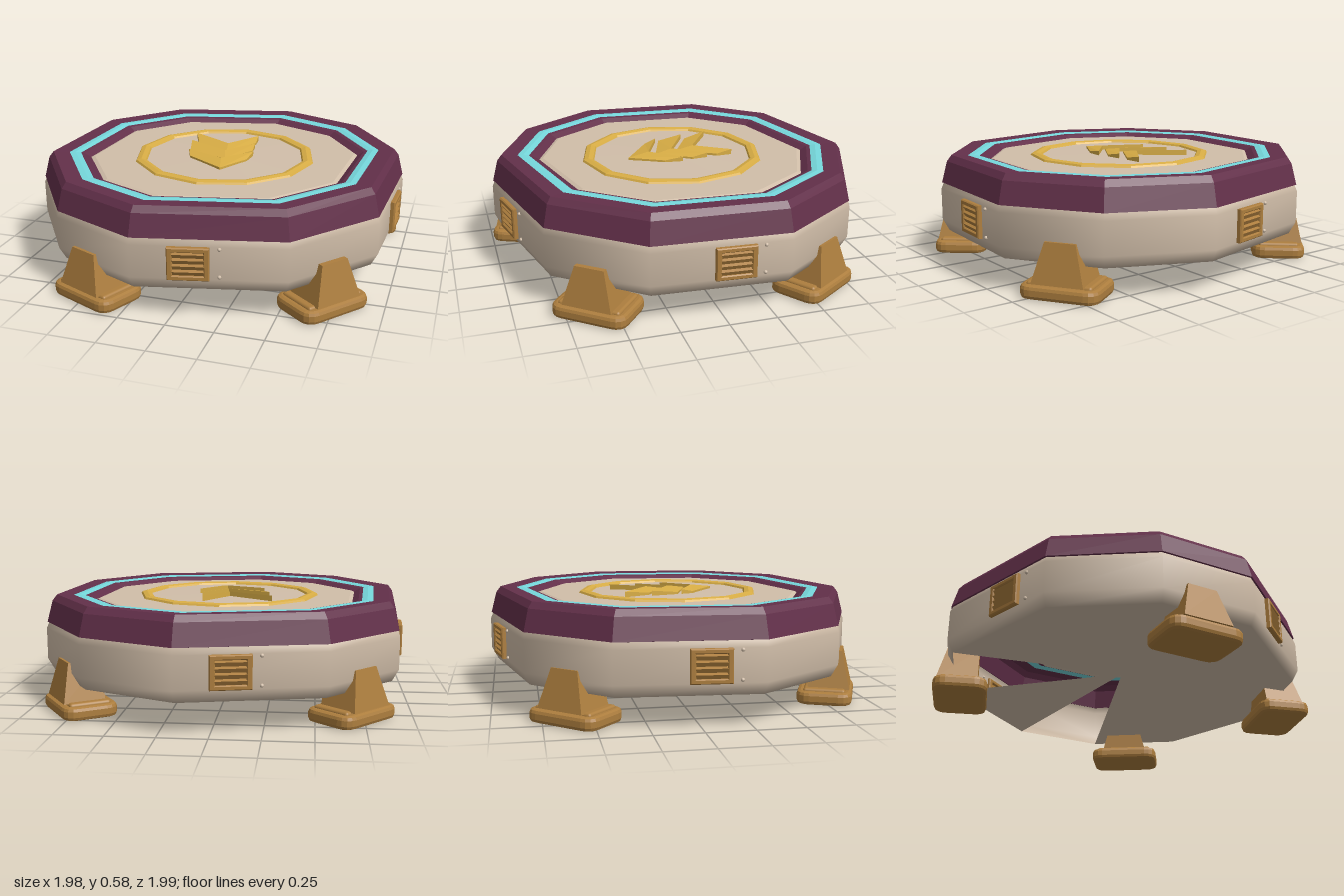
import * as THREE from 'three';
import { mergeVertices } from 'three/addons/utils/BufferGeometryUtils.js';
import { RoundedBoxGeometry } from 'three/addons/geometries/RoundedBoxGeometry.js';

const mat = (name, color, side = THREE.FrontSide) => {
  const m = new THREE.MeshStandardMaterial({ color, side });
  m.name = name;
  return m;
};

// Ten-sided irregular outline (x, z), clockwise seen from above
const OUTLINE = [
  [0.17, -1.0], [0.67, -0.78], [0.97, -0.33], [0.93, 0.38], [0.57, 0.82],
  [-0.18, 0.99], [-0.66, 0.78], [-0.98, 0.31], [-0.93, -0.43], [-0.57, -0.83],
];
const ROUND = Array.from({ length: 12 }, (_, i) => {
  const a = (i / 12) * Math.PI * 2;
  return [Math.sin(a), -Math.cos(a)];
});

// Faceted band: the outline scaled along a profile of [scale, y].
// Edges listed in openPanels are left out of the first profile step.
function loft(outline, profile, openPanels = []) {
  const pos = [];
  const pt = (p, [s, y]) => [p[0] * s, y, p[1] * s];
  for (let k = 0; k < profile.length - 1; k++) {
    outline.forEach((p, i) => {
      if (k === 0 && openPanels.includes(i)) return;
      const q = outline[(i + 1) % outline.length];
      const a = pt(p, profile[k]), b = pt(q, profile[k]);
      const c = pt(q, profile[k + 1]), d = pt(p, profile[k + 1]);
      if (profile[k][0] > 0) pos.push(...b, ...a, ...d);
      if (profile[k + 1][0] > 0) pos.push(...b, ...d, ...c);
    });
  }
  const g = new THREE.BufferGeometry();
  g.setAttribute('position', new THREE.Float32BufferAttribute(pos, 3));
  g.computeVertexNormals();
  return g;
}

// Same surface with normals blended over the edges
function smooth(geometry) {
  geometry.deleteAttribute('normal');
  const g = mergeVertices(geometry);
  g.computeVertexNormals();
  return g;
}

// Box whose top is narrowed and pulled back towards the wall
function wedgeGeometry(w, h, d, topW, frontPull) {
  const g = new THREE.BoxGeometry(w, h, d).toNonIndexed();
  const p = g.attributes.position;
  for (let i = 0; i < p.count; i++) {
    if (p.getY(i) < 0) continue;
    p.setX(i, p.getX(i) * topW / w);
    if (p.getZ(i) > 0) p.setZ(i, p.getZ(i) - frontPull);
  }
  g.computeVertexNormals();
  return g;
}

// Rounded slab lying flat, bevelled top and bottom
function padGeometry(w, d, h) {
  const b = 0.02, r = 0.05, x = w / 2 - b, z = d / 2 - b;
  const s = new THREE.Shape();
  s.moveTo(-x + r, -z).lineTo(x - r, -z).quadraticCurveTo(x, -z, x, -z + r);
  s.lineTo(x, z - r).quadraticCurveTo(x, z, x - r, z).lineTo(-x + r, z);
  s.quadraticCurveTo(-x, z, -x, z - r).lineTo(-x, -z + r).quadraticCurveTo(-x, -z, -x + r, -z);
  const g = new THREE.ExtrudeGeometry(s, {
    depth: h - 2 * b, bevelEnabled: true, bevelSize: b, bevelThickness: b, bevelSegments: 2, curveSegments: 4,
  });
  return g.rotateX(-Math.PI / 2).translate(0, b, 0);
}

// Arrow mark: the first three points form the high edge, the rest the low edge
function chevronGeometry(pts) {
  const shape = new THREE.Shape(pts.map(([x, z]) => new THREE.Vector2(x, -z)));
  const g = new THREE.ExtrudeGeometry(shape, { depth: 0.037, bevelEnabled: false }).rotateX(-Math.PI / 2);
  const p = g.attributes.position;
  for (let i = 0; i < p.count; i++) {
    const low = pts.slice(3).some(([x, z]) => Math.hypot(x - p.getX(i), z - p.getZ(i)) < 1e-4);
    if (low && p.getY(i) > 0.02) p.setY(i, 0.022);
  }
  g.computeVertexNormals();
  return g;
}

export function createModel() {
  const cream = mat('cream', 0xd1bea9, THREE.DoubleSide);
  const plum = mat('plum', 0x63304a, THREE.DoubleSide);
  const cyan = mat('cyan', 0x76d8dc, THREE.DoubleSide);
  const gold = mat('gold', 0xd8ad45);
  const bronze = mat('bronze', 0xad7e3e);

  const model = new THREE.Group();
  model.name = 'platform';
  const add = (parent, name, geo, material, x = 0, y = 0, z = 0) => {
    const m = new THREE.Mesh(geo, material);
    m.name = name;
    m.position.set(x, y, z);
    parent.add(m);
  };
  // Group turned so that its +z points out of one outline edge
  const facing = (name, i, x, z) => {
    const g = new THREE.Group();
    g.name = name;
    const p = OUTLINE[i], q = OUTLINE[(i + 1) % 10];
    g.rotation.y = Math.atan2(q[1] - p[1], p[0] - q[0]);
    g.position.set(x, 0, z);
    model.add(g);
    return g;
  };

  // Hollow drum, with two open panels underneath
  const drum = [[0, 0.24], [0.965, 0.165], [1, 0.23], [1, 0.4], [0.985, 0.435]];
  add(model, 'body', smooth(loft(OUTLINE, drum, [0, 8])), cream);

  // Rim, light band and deck
  add(model, 'rim', loft(OUTLINE, [[0.98, 0.432], [0.995, 0.435], [0.965, 0.55], [0.94, 0.583], [0.852, 0.578]]), plum);
  add(model, 'lightBand', loft(OUTLINE, [[0.852, 0.578], [0.82, 0.58], [0.79, 0.574]]), cyan);
  add(model, 'innerRim', loft(OUTLINE, [[0.79, 0.574], [0.77, 0.57], [0.735, 0.548]]), plum);
  add(model, 'deck', loft(OUTLINE, [[0.735, 0.548], [0.715, 0.556], [0.43, 0.556], [0, 0.565]]), cream);
  add(model, 'deckRing', loft(ROUND, [[0.51, 0.55], [0.5, 0.566], [0.475, 0.572], [0.45, 0.566], [0.44, 0.55]]), gold);

  // Three arrow marks
  [
    [[-0.26, -0.28], [-0.02, -0.13], [0.11, -0.32], [0.12, -0.23], [0, -0.03], [-0.2, -0.14]],
    [[-0.24, -0.13], [0, 0], [0.13, -0.17], [0.14, -0.08], [0.03, 0.1], [-0.2, 0.02]],
    [[-0.2, 0.04], [0.02, 0.14], [0.16, -0.02], [0.15, 0.08], [0.05, 0.26], [-0.17, 0.11]],
  ].forEach((pts) => add(model, 'chevron', chevronGeometry(pts), gold, 0, 0.55, 0));

  // Louvred vents with bolts on four walls: edge, centre x, centre z
  const frame = new THREE.Shape();
  frame.moveTo(-0.103, -0.085).lineTo(0.103, -0.085).lineTo(0.103, 0.085).lineTo(-0.103, 0.085);
  const hole = new THREE.Path();
  hole.moveTo(-0.075, -0.06).lineTo(-0.075, 0.06).lineTo(0.075, 0.06).lineTo(0.075, -0.06);
  frame.holes.push(hole);
  const frameGeo = new THREE.ExtrudeGeometry(frame, {
    depth: 0.03, bevelThickness: 0.006, bevelSize: 0.005, bevelOffset: -0.005, bevelSegments: 1,
  });
  const backGeo = new THREE.BoxGeometry(0.16, 0.13, 0.008);
  const slatGeo = new THREE.BoxGeometry(0.155, 0.024, 0.022).rotateX(0.5);
  const boltGeo = new THREE.SphereGeometry(0.01, 8, 6);
  [[4, 0.1, 0.927], [2, 0.954, -0.04], [7, -0.961, 0.035], [9, -0.1, -0.938]].forEach(([i, x, z]) => {
    const vent = facing('vent', i, x, z);
    add(vent, 'ventFrame', frameGeo, bronze, 0, 0.315, -0.012);
    add(vent, 'ventBack', backGeo, bronze, 0, 0.315, 0);
    for (let k = 0; k < 4; k++) add(vent, 'ventSlat', slatGeo, bronze, 0, 0.27 + k * 0.03, 0.008);
    for (const y of [0.245, 0.39]) add(vent, 'ventBolt', boltGeo, cream, 0.15, y, 0.002);
  });

  // Four feet: edge, centre x, centre z
  const padGeo = padGeometry(0.41, 0.29, 0.07);
  const stepGeo = new RoundedBoxGeometry(0.34, 0.05, 0.22, 2, 0.015);
  const wedgeGeo = wedgeGeometry(0.27, 0.2, 0.22, 0.16, 0.045);
  [[1, 0.73, -0.56], [3, 0.69, 0.583], [5, -0.442, 0.8], [8, -0.685, -0.585]].forEach(([i, x, z]) => {
    const foot = facing('foot', i, x, z);
    add(foot, 'footPad', padGeo, bronze, 0, 0.003, 0);
    add(foot, 'footStep', stepGeo, bronze, 0, 0.062, 0);
    add(foot, 'footWedge', wedgeGeo, bronze, 0, 0.18, 0.02);
  });

  return model;
}
